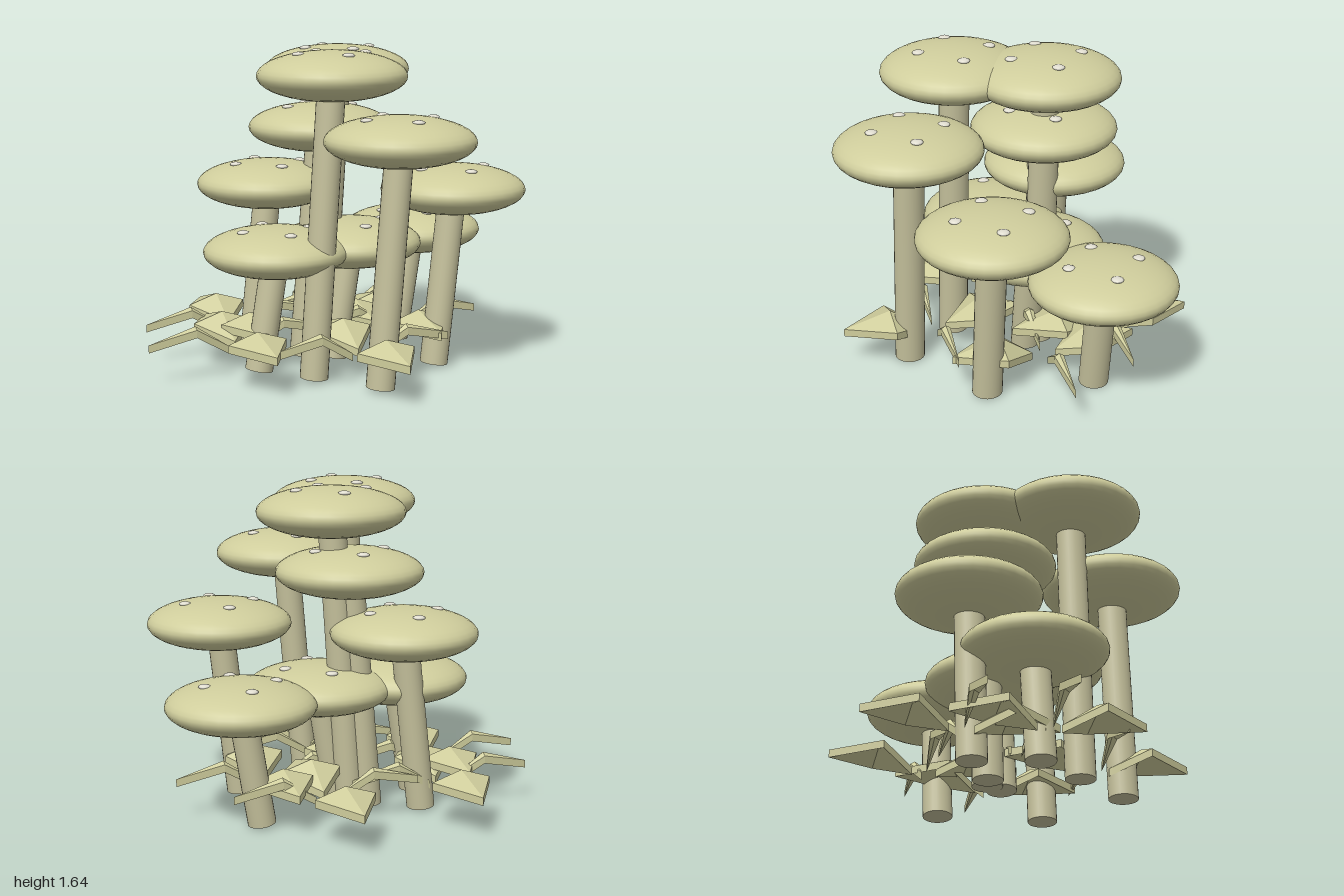
import * as THREE from 'three';

const mat = (name, color) => {
  const m = new THREE.MeshStandardMaterial({ color });
  m.name = name;
  return m;
};

// Solid folded leaf pointing along +z: a raised spine point inside a diamond rim
function leafGeometry(halfWidth, sideY) {
  const thick = 0.04;
  const rim = [
    [halfWidth, sideY, 0.235], [0, 0.16, 0.06], [-halfWidth, sideY, 0.235], [0, 0.21, 0.48],
  ];
  const spine = [0, 0.28, 0.235];
  const low = ([x, y, z]) => [x, y - thick, z];
  const tris = [];
  rim.forEach((a, i) => {
    const b = rim[(i + 1) % 4];
    tris.push(spine, a, b); // upper face
    tris.push(low(spine), low(b), low(a)); // lower face
    tris.push(low(a), low(b), b, low(a), b, a); // edge
  });
  const g = new THREE.BufferGeometry();
  g.setAttribute('position', new THREE.Float32BufferAttribute(tris.flat(), 3));
  g.computeVertexNormals();
  return g;
}

export function createModel() {
  const model = new THREE.Group();
  model.name = 'mushroomCluster';
  const capMat = mat('pale khaki', 0xcfcd9c);
  const stemMat = mat('khaki stem', 0xc5c19c);
  const spotMat = mat('off white', 0xe0ddd0);

  const add = (parent, name, geometry, material) => {
    const mesh = new THREE.Mesh(geometry, material);
    mesh.name = name;
    parent.add(mesh);
    return mesh;
  };

  const capGeo = new THREE.SphereGeometry(1, 32, 20).scale(0.37, 0.125, 0.37);
  const spotGeo = new THREE.SphereGeometry(1, 14, 8).scale(0.031, 0.012, 0.031);

  // Mushrooms: cap centre x, y, z; every stem leans from 0.1 further right
  const lean = 0.1, foot = 0.014;
  const mushrooms = [
    [-0.12, 1.52, 0.245], [0.105, 1.52, -0.16],
    [0.1, 1.22, 0.54], [0.015, 1.22, -0.18],
    [0.56, 0.92, 0.255], [-0.22, 0.92, -0.32],
    [0.62, 0.62, -0.29], [-0.31, 0.62, -0.01], [0.14, 0.62, -0.08],
  ];
  for (const [x, y, z] of mushrooms) {
    const mushroom = new THREE.Group();
    mushroom.name = 'mushroom';
    mushroom.position.set(x, 0, z);
    model.add(mushroom);

    const rise = y - foot;
    const stemGeo = new THREE.CylinderGeometry(1, 1, Math.hypot(rise, lean), 24);
    stemGeo.scale(0.07, 1, 0.077);
    const stem = add(mushroom, 'stem', stemGeo, stemMat);
    stem.position.set(-lean / 2, foot + rise / 2, 0);
    stem.rotation.z = -Math.atan2(lean, rise);

    add(mushroom, 'cap', capGeo, capMat).position.y = y;
    for (let i = 0; i < 4; i++) {
      const a = (i * Math.PI) / 2;
      add(mushroom, 'capSpot', spotGeo, spotMat)
        .position.set(Math.cos(a) * 0.18, y + 0.109, Math.sin(a) * 0.18);
    }
  }

  // Leaf rosettes: broad leaves to front and back, narrow ones to the sides
  const broad = leafGeometry(0.155, 0.23);
  const narrow = leafGeometry(0.024, 0.265);
  const rosettes = [
    [-0.52, 0], [-0.4, -0.39], [0.225, -0.43], [-0.02, 0.4], [0.41, -0.06],
  ];
  for (const [x, z] of rosettes) {
    const rosette = new THREE.Group();
    rosette.name = 'leafRosette';
    rosette.position.set(x, 0, z);
    model.add(rosette);
    for (let i = 0; i < 4; i++) {
      const side = i % 2 === 1;
      const leaf = add(rosette, side ? 'narrowLeaf' : 'broadLeaf', side ? narrow : broad, capMat);
      leaf.rotation.y = (i * Math.PI) / 2;
    }
  }
  return model;
}
